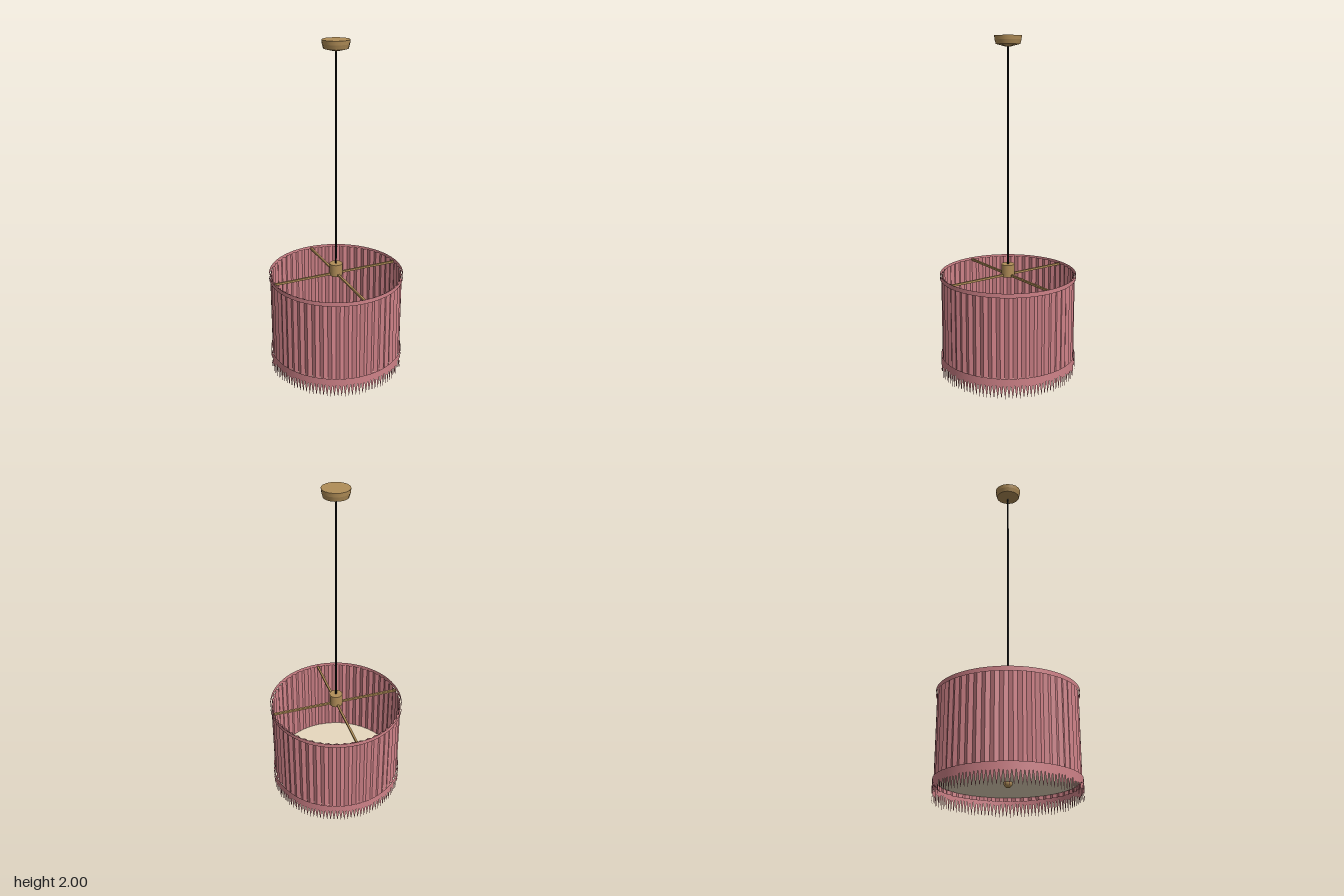
import * as THREE from 'three';

const brass = new THREE.MeshStandardMaterial({ name: 'brass', color: 0xb08d57 });
const fabric = new THREE.MeshStandardMaterial({ name: 'rose fabric', color: 0xcf8288, side: THREE.DoubleSide });
const black = new THREE.MeshStandardMaterial({ name: 'black cord', color: 0x151515 });
const cream = new THREE.MeshStandardMaterial({ name: 'cream diffuser', color: 0xe8d9bf });

// Point on a ring: step k of count, at the given radius and height
function ringPoint(k, count, radius, y) {
  const a = (k / count) * Math.PI * 2;
  return [Math.sin(a) * radius, y, Math.cos(a) * radius];
}

function flatGeometry(positions) {
  const geometry = new THREE.BufferGeometry();
  geometry.setAttribute('position', new THREE.Float32BufferAttribute(positions, 3));
  geometry.computeVertexNormals();
  return geometry;
}

// Zigzag wall whose radius alternates between valley and peak
function pleatGeometry(pleats, valley, peak, yBottom, yTop) {
  const positions = [];
  const count = pleats * 2;
  for (let i = 0; i < count; i++) {
    const r0 = i % 2 ? valley : peak, r1 = i % 2 ? peak : valley;
    const a = ringPoint(i, count, r0, yBottom), b = ringPoint(i + 1, count, r1, yBottom);
    const c = ringPoint(i + 1, count, r1, yTop), d = ringPoint(i, count, r0, yTop);
    positions.push(...a, ...b, ...c, ...a, ...c, ...d);
  }
  return flatGeometry(positions);
}

// Downward triangles hanging side by side from a ring
function fringeGeometry(count, radius, yTop, yTip) {
  const positions = [];
  for (let i = 0; i < count; i++) {
    positions.push(
      ...ringPoint(i, count, radius, yTop),
      ...ringPoint(i + 0.5, count, radius, yTip),
      ...ringPoint(i + 1, count, radius, yTop));
  }
  return flatGeometry(positions);
}

export function createModel() {
  const model = new THREE.Group();
  model.name = 'pendantLamp';
  const add = (name, geometry, material, y = 0) => {
    const mesh = new THREE.Mesh(geometry, material);
    mesh.name = name;
    mesh.position.y = y;
    model.add(mesh);
  };

  // Ceiling canopy: drum, tapered shoulder and shallow cone beneath
  add('canopyDrum', new THREE.CylinderGeometry(0.079, 0.077, 0.022, 16), brass, 1.989);
  add('canopyShoulder', new THREE.CylinderGeometry(0.077, 0.07, 0.026, 16), brass, 1.965);
  add('canopyCone', new THREE.CylinderGeometry(0.07, 0.015, 0.014, 16), brass, 1.945);

  // Cord
  add('cord', new THREE.CylinderGeometry(0.005, 0.005, 1.28, 8), black, 1.31);

  // Hub and four square spokes
  add('hub', new THREE.CylinderGeometry(0.039, 0.039, 0.075, 16), brass, 0.635);
  for (let i = 0; i < 4; i++) {
    const spoke = new THREE.BoxGeometry(0.012, 0.012, 0.364);
    spoke.translate(0, 0, 0.212).rotateY((i * Math.PI) / 2);
    add('spoke', spoke, brass, 0.608);
  }

  // Pleated shade wall
  add('pleatedShade', pleatGeometry(52, 0.387, 0.398, 0.09, 0.612), fabric);

  // Trim bands and fringe
  const band = (h) => new THREE.CylinderGeometry(0.405, 0.405, h, 64, 1, true);
  add('topBand', band(0.026), fabric, 0.607);
  add('bottomBand', band(0.042), fabric, 0.1);
  add('fringe', fringeGeometry(120, 0.406, 0.082, 0), fabric);

  // Diffuser disc and its finial
  add('diffuser', new THREE.CylinderGeometry(0.388, 0.388, 0.008, 48), cream, 0.115);
  add('finial', new THREE.SphereGeometry(0.025, 14, 10), brass, 0.105);

  return model;
}
